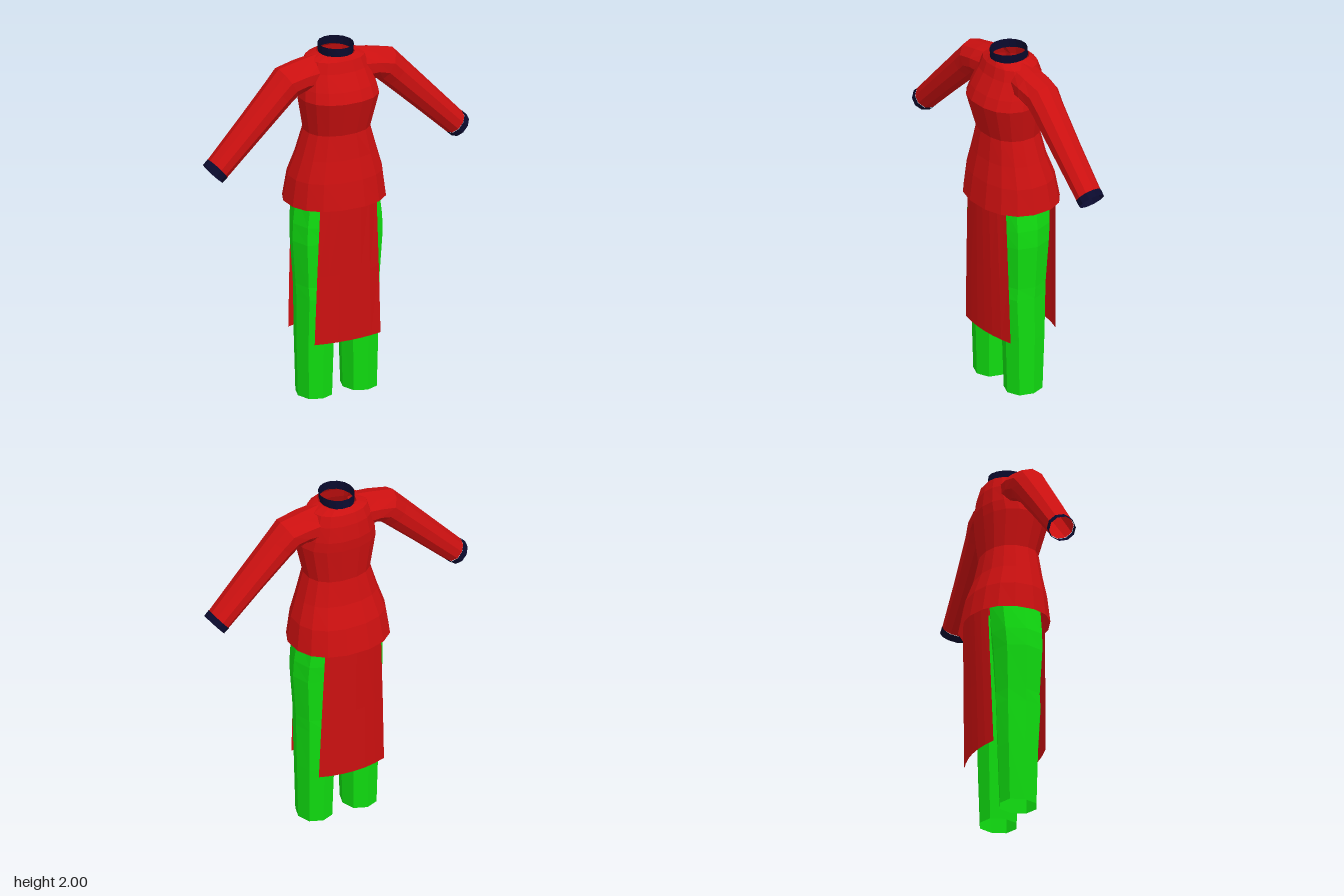
import * as THREE from 'three';

const paint = (name, color) => {
  const m = new THREE.MeshStandardMaterial({ color, flatShading: true, side: THREE.DoubleSide });
  m.name = name;
  return m;
};

// Skins a list of cross-sections; closed sections wrap round, open ones make a sheet.
function loft(rings, { closed = true, flip = false } = {}) {
  const n = rings[0].length, pos = [], index = [];
  rings.forEach(r => r.forEach(p => pos.push(...p)));
  for (let i = 0; i < rings.length - 1; i++) {
    for (let j = 0; j < (closed ? n : n - 1); j++) {
      const k = (j + 1) % n;
      const a = i * n + j, b = i * n + k, c = a + n, d = b + n;
      if (flip) index.push(a, b, d, a, d, c);
      else index.push(a, d, b, a, c, d);
    }
  }
  const g = new THREE.BufferGeometry();
  g.setAttribute('position', new THREE.Float32BufferAttribute(pos, 3));
  g.setIndex(index);
  g.computeVertexNormals();
  return g;
}

const round = (v, e) => Math.sign(v) * Math.abs(v) ** e;

// Level oval section; e below 1 makes it squarer.
function oval(y, x0, x1, zBack, zFront, sides, e = 1, turn = 0) {
  return Array.from({ length: sides }, (_, i) => {
    const a = (i + turn) / sides * Math.PI * 2;
    return [
      (x0 + x1) / 2 + round(Math.cos(a), e) * (x1 - x0) / 2, y,
      (zBack + zFront) / 2 + round(Math.sin(a), e) * (zFront - zBack) / 2,
    ];
  });
}

// Sleeve section spanned by its upper and lower points in the xy plane.
function sleeveRing([tx, ty, bx, by, zc, hz], side, sides = 10) {
  return Array.from({ length: sides }, (_, i) => {
    const a = i / sides * Math.PI * 2, c = Math.cos(a) / 2;
    return [side * ((tx + bx) / 2 + c * (tx - bx)), (ty + by) / 2 + c * (ty - by), zc + Math.sin(a) * hz];
  });
}

export function createModel() {
  const model = new THREE.Group();
  model.name = 'tunicAndTrousers';
  const red = paint('red cloth', 0xcc1010);
  const green = paint('green cloth', 0x10dd10);
  const navy = paint('navy trim', 0x0a0a2d);
  const add = (name, geometry, material) => {
    const m = new THREE.Mesh(geometry, material);
    m.name = name;
    model.add(m);
  };

  // Tunic body: y, half width, back z, front z
  const body = [
    [1.11, 0.285, -0.23, 0.235], [1.26, 0.265, -0.2, 0.217], [1.38, 0.227, -0.155, 0.195],
    [1.52, 0.186, -0.125, 0.178], [1.72, 0.225, -0.145, 0.235], [1.78, 0.214, -0.148, 0.21],
    [1.87, 0.19, -0.136, 0.16], [1.93, 0.165, -0.118, 0.14], [1.955, 0.1, -0.092, 0.125],
  ];
  add('tunicBody', loft(body.map(([y, w, b, f]) => oval(y, -w, w, b, f, 16, 0.88, 0.5))), red);

  // Collar band
  add('collar', loft([
    oval(1.95, -0.092, 0.092, -0.09, 0.126, 16, 1, 0.5),
    oval(2.0, -0.096, 0.096, -0.082, 0.126, 16, 1, 0.5),
  ]), navy);

  // Sleeves: upper x, y, lower x, y, z centre, half depth
  const sleeve = [
    [0.10, 1.952, 0.15, 1.74, 0.015, 0.1], [0.22, 1.932, 0.215, 1.76, 0.018, 0.108],
    [0.345, 1.907, 0.25, 1.742, 0.02, 0.1], [0.415, 1.832, 0.29, 1.707, 0.022, 0.092],
    [0.58, 1.655, 0.47, 1.543, 0.025, 0.083], [0.765, 1.457, 0.675, 1.353, 0.025, 0.075],
  ];
  const cuff = [
    [0.765, 1.459, 0.675, 1.351, 0.025, 0.077], [0.793, 1.432, 0.703, 1.327, 0.025, 0.076],
  ];
  // Trouser leg: y, inner x, outer x, back z, front z
  const leg = [
    [0, 0.04, 0.232, -0.08, 0.132], [0.33, 0.03, 0.24, -0.092, 0.142],
    [0.58, 0.02, 0.243, -0.1, 0.158], [0.65, 0.016, 0.246, -0.1, 0.152],
    [0.9, 0, 0.264, -0.115, 0.166], [1.0, 0, 0.26, -0.125, 0.168], [1.18, 0, 0.235, -0.135, 0.165],
  ];
  for (const [label, side] of [['left', 1], ['right', -1]]) {
    const flip = side > 0;
    add(label + 'Sleeve', loft(sleeve.map(r => sleeveRing(r, side)), { flip }), red);
    add(label + 'Cuff', loft(cuff.map(r => sleeveRing(r, side)), { flip }), navy);
    add(label + 'TrouserLeg', loft(leg.map(([y, i, o, b, f]) =>
      oval(y, side > 0 ? i : -o, side > 0 ? o : -i, b, f, 8, 0.9))), green);
  }

  // Hanging panels: bowed sheets, y, half width, centre z, edge z
  const panel = (name, rows, flip) => add(name, loft(rows.map(([y, w, zc, ze]) =>
    Array.from({ length: 7 }, (_, i) => {
      const t = i / 3 - 1;
      return [t * w, y, zc + (ze - zc) * t * t];
    })), { closed: false, flip }), red);
  panel('frontPanel', [[0.33, 0.2, 0.182, 0.158], [0.72, 0.187, 0.19, 0.163], [1.15, 0.17, 0.2, 0.168]], true);
  panel('backPanel', [[0.33, 0.2, -0.182, -0.145], [0.72, 0.187, -0.19, -0.155], [1.15, 0.17, -0.202, -0.165]], false);

  return model;
}
